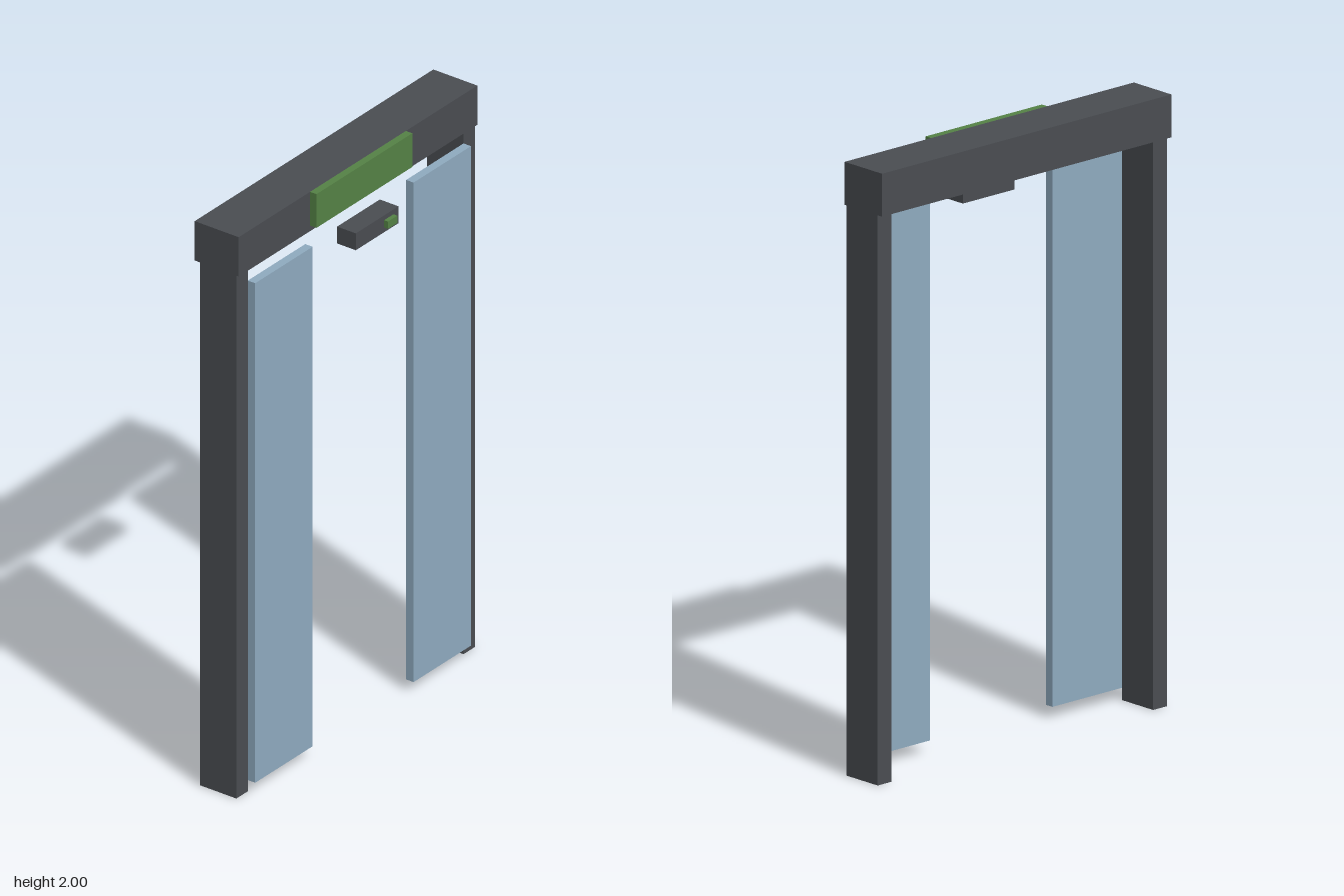
import * as THREE from 'three';

const material = (name, color) => {
  const m = new THREE.MeshStandardMaterial({ color });
  m.name = name;
  return m;
};

export function createModel() {
  const group = new THREE.Group();
  group.name = 'slidingDoorway';
  const frame = material('charcoal', 0x4a4d52);
  const glass = material('paleBlue', 0x8fabc0);
  const green = material('green', 0x558246);

  // Box given by its extents along each axis
  const box = (name, mat, [x0, x1], [y0, y1], [z0, z1]) => {
    const mesh = new THREE.Mesh(new THREE.BoxGeometry(x1 - x0, y1 - y0, z1 - z0), mat);
    mesh.position.set((x0 + x1) / 2, (y0 + y1) / 2, (z0 + z1) / 2);
    mesh.name = name;
    group.add(mesh);
  };

  // Header beam with its sign panel
  box('header', frame, [-0.615, 0.615], [1.86, 2], [-0.132, 0.04]);
  box('signPanel', green, [-0.247, 0.247], [1.88, 2], [0.04, 0.065]);

  // Posts and sliding door leaves, mirrored
  for (const [side, s] of [['left', 1], ['right', -1]]) {
    const span = (a, b) => (s > 0 ? [a, b] : [-b, -a]);
    box(side + 'Post', frame, span(0.556, 0.615), [0, 1.86], [-0.112, 0.031]);
    box(side + 'DoorLeaf', glass, span(0.26, 0.556), [0.04, 1.817], [0.031, 0.06]);
  }

  // Motion sensor and its indicator light
  box('sensor', frame, [-0.11, 0.11], [1.757, 1.817], [0.042, 0.115]);
  box('sensorLight', green, [0.036, 0.084], [1.774, 1.8], [0.115, 0.13]);

  return group;
}
